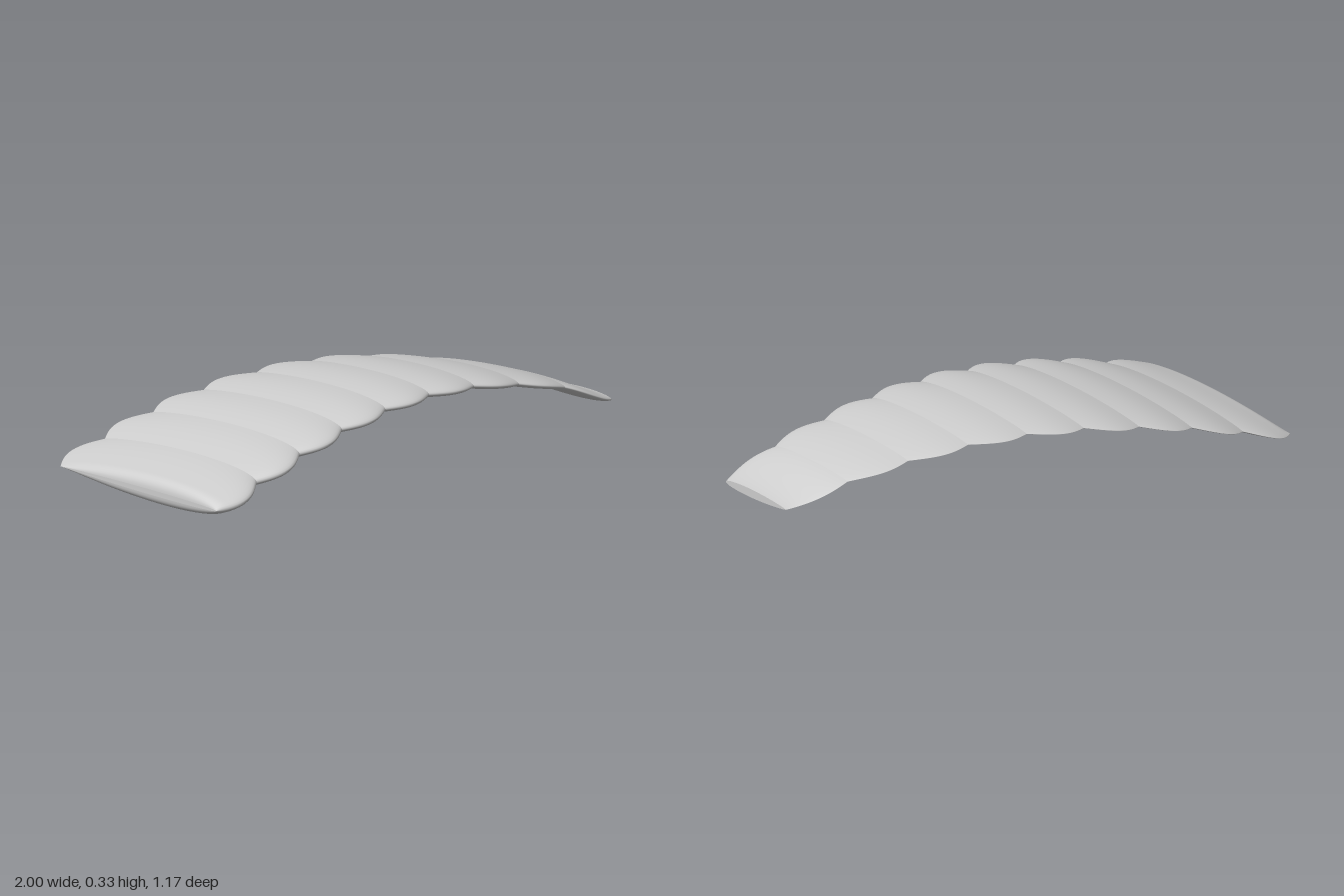
import * as THREE from 'three';

// Values at the ten ribs, from the wide end (x = -1) to the narrow end (x = 1)
const spline = (v) => {
  const curve = new THREE.SplineCurve(v.map((y, i) => new THREE.Vector2(i, y)));
  return (t) => curve.getPoint(t).y;
};
const arch = spline([0.05, 0.118, 0.187, 0.24, 0.277, 0.291, 0.28, 0.243, 0.185, 0.092]);
const thickness = spline([0.105, 0.097, 0.091, 0.084, 0.076, 0.069, 0.06, 0.052, 0.043, 0.036]);
const noseZ = spline([0.3, 0.31, 0.335, 0.357, 0.385, 0.415, 0.45, 0.487, 0.53, 0.573]);
const tailZ = spline([-0.538, -0.505, -0.45, -0.385, -0.305, -0.215, -0.115, -0.007, 0.103, 0.22]);

const PANELS = 9, STEPS = 24, SIDES = 64;

// Aerofoil ring: nose, over the top to the tail, back underneath
function section(panel, u) {
  const t = (panel + u) / PANELS;
  const x = -1 + 2 * t;
  const puff = Math.sin(Math.PI * u);
  const chord = noseZ(t) - tailZ(t);
  const bulge = 0.068 * chord * puff;
  const front = noseZ(t) + bulge, length = chord + 2 * bulge;
  // The wide end closes to a thin rounded lip
  const d = Math.min(1, (x + 1) / 0.035);
  const lip = 0.2 + 0.8 * Math.sqrt(1 - (1 - d) ** 2);
  const half = 0.5 * thickness(t) * (1 + 0.14 * puff) * lip;
  const ring = [];
  for (let j = 0; j < SIDES; j++) {
    const a = (2 * Math.PI * j) / SIDES;
    const s = (1 - Math.cos(a)) / 2;
    const h = half * Math.sqrt(s) * Math.max(0, 1 - s) ** 0.8 / 0.421;
    ring.push(new THREE.Vector3(x, arch(t) + (j <= SIDES / 2 ? h : -h), front - length * s));
  }
  return ring;
}

// Skin a row of closed rings
function loft(rings) {
  const n = rings[0].length, index = [];
  for (let i = 0; i < rings.length - 1; i++) {
    for (let j = 0; j < n; j++) {
      const k = (j + 1) % n;
      const a = i * n + j, b = a + n, c = i * n + k, e = c + n;
      index.push(a, b, c, b, e, c);
    }
  }
  const geometry = new THREE.BufferGeometry().setFromPoints(rings.flat());
  geometry.setIndex(index);
  geometry.computeVertexNormals();
  return geometry;
}

// Ring collapsed onto its chord line, used to fill an end
function flatten(ring) {
  const y = ring[0].y;
  return ring.map((p) => new THREE.Vector3(p.x, y, p.z));
}

export function createModel() {
  const group = new THREE.Group();
  group.name = 'archedWing';
  const material = new THREE.MeshStandardMaterial({ color: 0xcccccc, side: THREE.DoubleSide });
  const add = (name, geometry) => {
    const mesh = new THREE.Mesh(geometry, material);
    mesh.name = name;
    group.add(mesh);
  };

  // Inflated panels, creased where they meet at the ribs
  for (let p = 0; p < PANELS; p++) {
    const rings = [];
    for (let i = 0; i <= STEPS; i++) {
      rings.push(section(p, (1 - Math.cos((Math.PI * i) / STEPS)) / 2));
    }
    add(`panel${p + 1}`, loft(rings));
  }

  // End caps
  const wide = section(0, 0), narrow = section(PANELS - 1, 1);
  add('wideEndCap', loft([flatten(wide), wide]));
  add('narrowEndCap', loft([narrow, flatten(narrow)]));
  return group;
}
